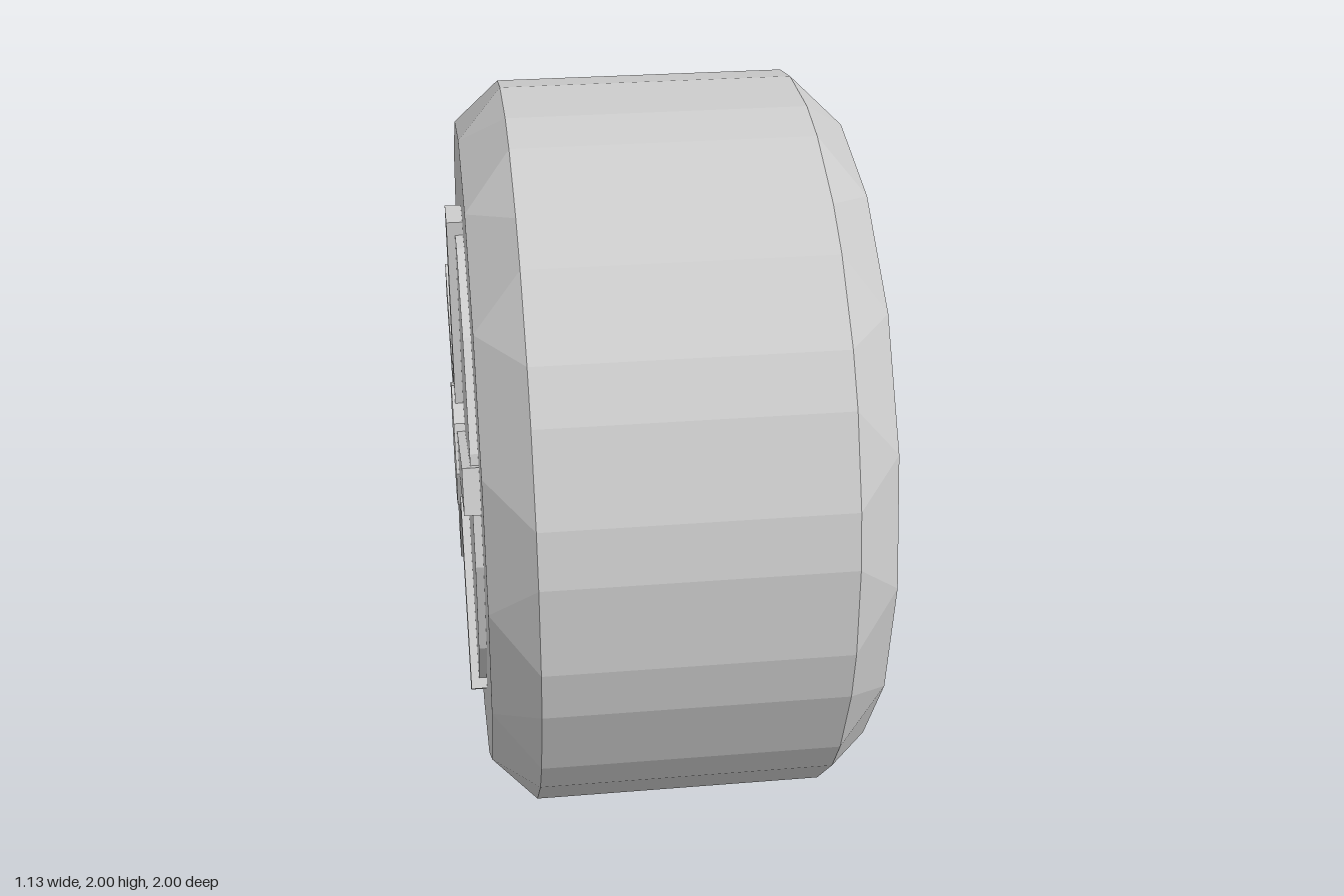
import * as THREE from 'three';

const SIDES = 16, FACE_X = 0.512, TREAD_X = 0.392;

// Ring point around the wheel axle (x axis); angle 0 points up
const ring = (x, r, a) => new THREE.Vector3(x, r * Math.cos(a), r * Math.sin(a));

// 16-sided tyre whose bevelled corners split into pairs on the tread
function tyreGeometry() {
  const pos = [];
  const tri = (a, b, c, flip) => {
    for (const p of flip ? [a, c, b] : [a, b, c]) pos.push(p.x, p.y, p.z);
  };
  const step = (Math.PI * 2) / SIDES, half = THREE.MathUtils.degToRad(7);
  const r = 1 / Math.cos(half);
  for (let i = 0; i < SIDES; i++) {
    const a = i * step, b = a + step;
    for (const s of [1, -1]) {
      const flip = s < 0, x = s * TREAD_X, f = s * FACE_X;
      const p0 = ring(x, r, a - half), p1 = ring(x, r, a + half), p2 = ring(x, r, b - half);
      const f0 = ring(f, 0.9, a), f1 = ring(f, 0.9, b);
      tri(new THREE.Vector3(f, 0, 0), f0, f1, flip); // side wall
      tri(f0, p0, p1, flip);                         // corner bevel
      tri(f0, p1, p2, flip);                         // edge bevel
      tri(f0, p2, f1, flip);
    }
    // tread: one narrow and one wide strip
    for (const [u, v] of [[a - half, a + half], [a + half, b - half]]) {
      const l0 = ring(-TREAD_X, r, u), l1 = ring(-TREAD_X, r, v);
      const r0 = ring(TREAD_X, r, u), r1 = ring(TREAD_X, r, v);
      tri(r0, l0, l1);
      tri(r0, l1, r1);
    }
  }
  const geo = new THREE.BufferGeometry();
  geo.setAttribute('position', new THREE.Float32BufferAttribute(pos, 3));
  geo.computeVertexNormals();
  return geo;
}

export function createModel() {
  const grey = new THREE.MeshStandardMaterial({ color: 0xcccccc, flatShading: true });
  grey.name = 'lightGrey';
  const wheel = new THREE.Group();
  wheel.name = 'wheel';
  wheel.position.y = 1;

  const add = (parent, name, geo) => {
    const mesh = new THREE.Mesh(geo, grey);
    mesh.name = name;
    parent.add(mesh);
    return mesh;
  };
  // Flat polygon disc facing +x, from just inside the side wall out to x
  const disc = (r, sides, x, turn) => {
    const depth = x - 0.5;
    return new THREE.CylinderGeometry(r, r, depth, sides)
      .rotateZ(-Math.PI / 2).rotateX(turn).translate(0.5 + depth / 2, 0, 0);
  };

  add(wheel, 'tyre', tyreGeometry());

  // Same rim on both sides
  for (const side of [1, -1]) {
    const rim = new THREE.Group();
    rim.name = side > 0 ? 'leftRim' : 'rightRim';
    rim.rotation.y = side > 0 ? 0 : Math.PI;
    add(rim, 'rimDisc', disc(0.675, 14, 0.533, 0));
    add(rim, 'hubCap', disc(0.182, 8, 0.563, 0));
    for (let i = 0; i < 5; i++) {
      const spoke = add(rim, 'spoke', new THREE.BoxGeometry(0.055, 0.695, 0.122).translate(0.5275, 0.3475, 0));
      spoke.rotation.x = (i * Math.PI * 2) / 5;
    }
    wheel.add(rim);
  }

  const model = new THREE.Group();
  model.name = 'model';
  model.add(wheel);
  return model;
}
